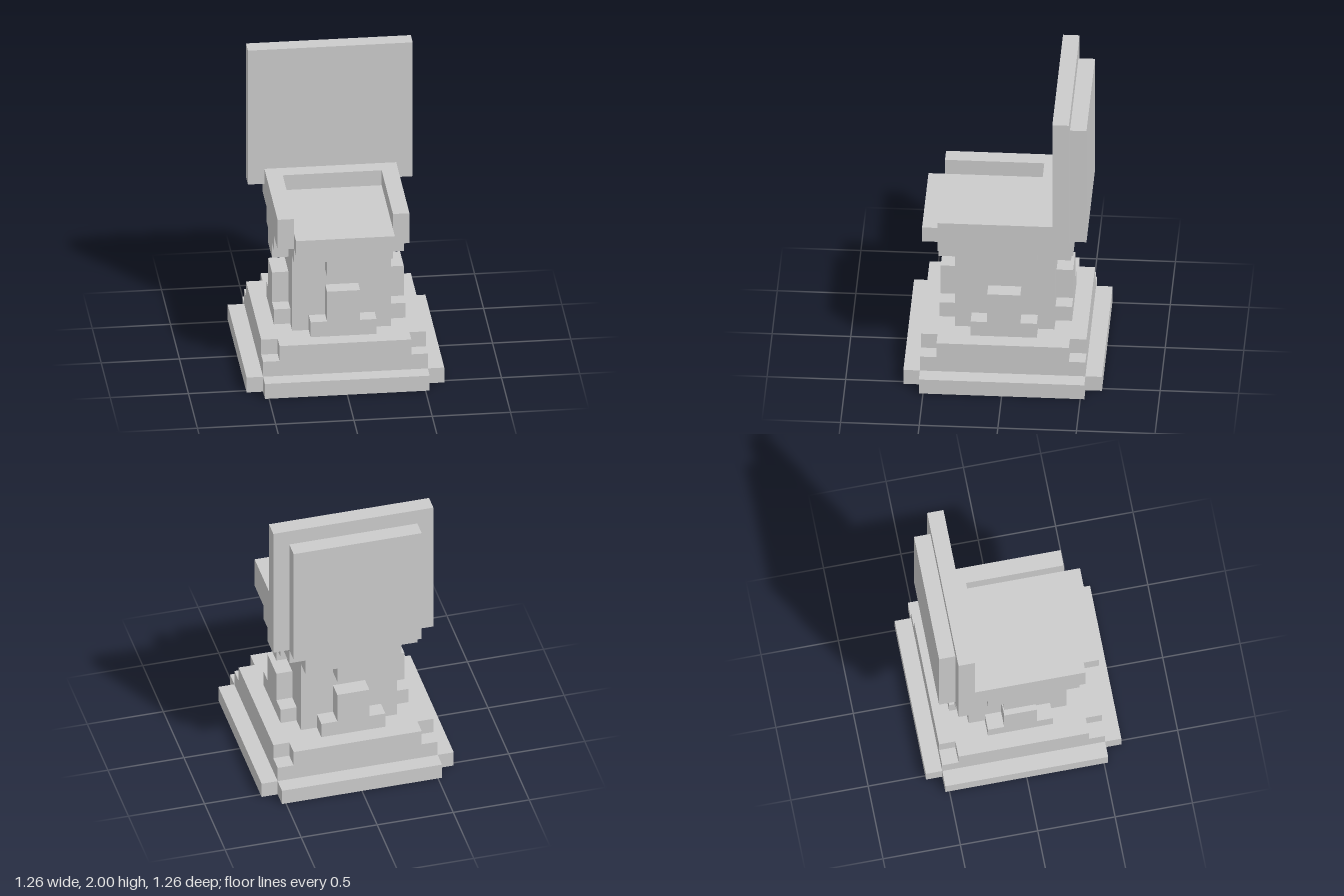
import * as THREE from 'three';

const U = 2 / 19; // block size: the chair is 19 blocks tall
const material = new THREE.MeshStandardMaterial({ color: 0xcccccc, flatShading: true });

export function createModel() {
  const model = new THREE.Group();

  const add = (name, geometry, parent = model) => {
    const mesh = new THREE.Mesh(geometry, material);
    mesh.name = name;
    parent.add(mesh);
    return mesh;
  };

  // Box from minimum and maximum corners, in blocks
  const block = (name, [x0, y0, z0], [x1, y1, z1]) => {
    const geometry = new THREE.BoxGeometry(x1 - x0, y1 - y0, z1 - z0);
    geometry.translate((x0 + x1) / 2, (y0 + y1) / 2, (z0 + z1) / 2).scale(U, U, U);
    return add(name, geometry);
  };

  const outline = (points) => new THREE.Shape(points.map(([x, y]) => new THREE.Vector2(x, y)));
  const extrude = (points, depth) =>
    new THREE.ExtrudeGeometry(outline(points), { depth, bevelEnabled: false });

  // Horizontal slab from an outline in x and z
  const slab = (name, points, y0, height) => {
    const geometry = extrude(points.map(([x, z]) => [x, -z]), height);
    geometry.rotateX(-Math.PI / 2).translate(0, y0, 0).scale(U, U, U);
    return add(name, geometry);
  };

  // Square slab with one block cut from each corner
  const notched = (r) => {
    const s = r - 1;
    return [[s, r], [s, s], [r, s], [r, -s], [s, -s], [s, -r],
      [-s, -r], [-s, -s], [-r, -s], [-r, s], [-s, s], [-s, r]];
  };

  // Stepped pedestal
  slab('footSlab', notched(6), 0, 1);
  block('plinth', [-5, 1, -5], [5, 2, 5]);
  slab('plinthTop', notched(5), 2, 1);
  block('column', [-3, 3, -3], [3, 9, 3]);

  // Raised ornaments on the four faces of the column
  for (let i = 0; i < 4; i++) {
    const face = new THREE.Group();
    face.name = 'columnOrnament';
    face.rotation.y = i * Math.PI / 2;
    model.add(face);
    const w = i % 2 ? 2 : 3; // the upper bracket is wider on front and back
    const motifs = {
      lowerOrnament: [[-2, 3], [2, 3], [2, 4], [1, 4], [1, 6], [-1, 6], [-1, 4], [-2, 4]],
      upperBracket: [[-1, 7], [1, 7], [1, 8], [w, 8], [w, 9], [-w, 9], [-w, 8], [-1, 8]],
    };
    for (const [name, points] of Object.entries(motifs))
      add(name, extrude(points, 1).translate(0, 0, 3).scale(U, U, U), face);
  }

  // Seat with front lip, and a raised rim forming the low arms
  block('seat', [-4, 9, -4], [4, 10, 4]);
  block('seatLip', [-3, 9, 4], [3, 10, 5]);
  slab('armRim', [[-4, 4], [-4, -3], [4, -3], [4, 4], [3, 4], [3, -2], [-3, -2], [-3, 4]], 10, 1);

  // Tall backrest with a smaller panel behind it
  block('backrest', [-5, 10, -4], [5, 19, -3]);
  block('rearPanel', [-4, 10, -5], [4, 18, -4]);

  return model;
}
